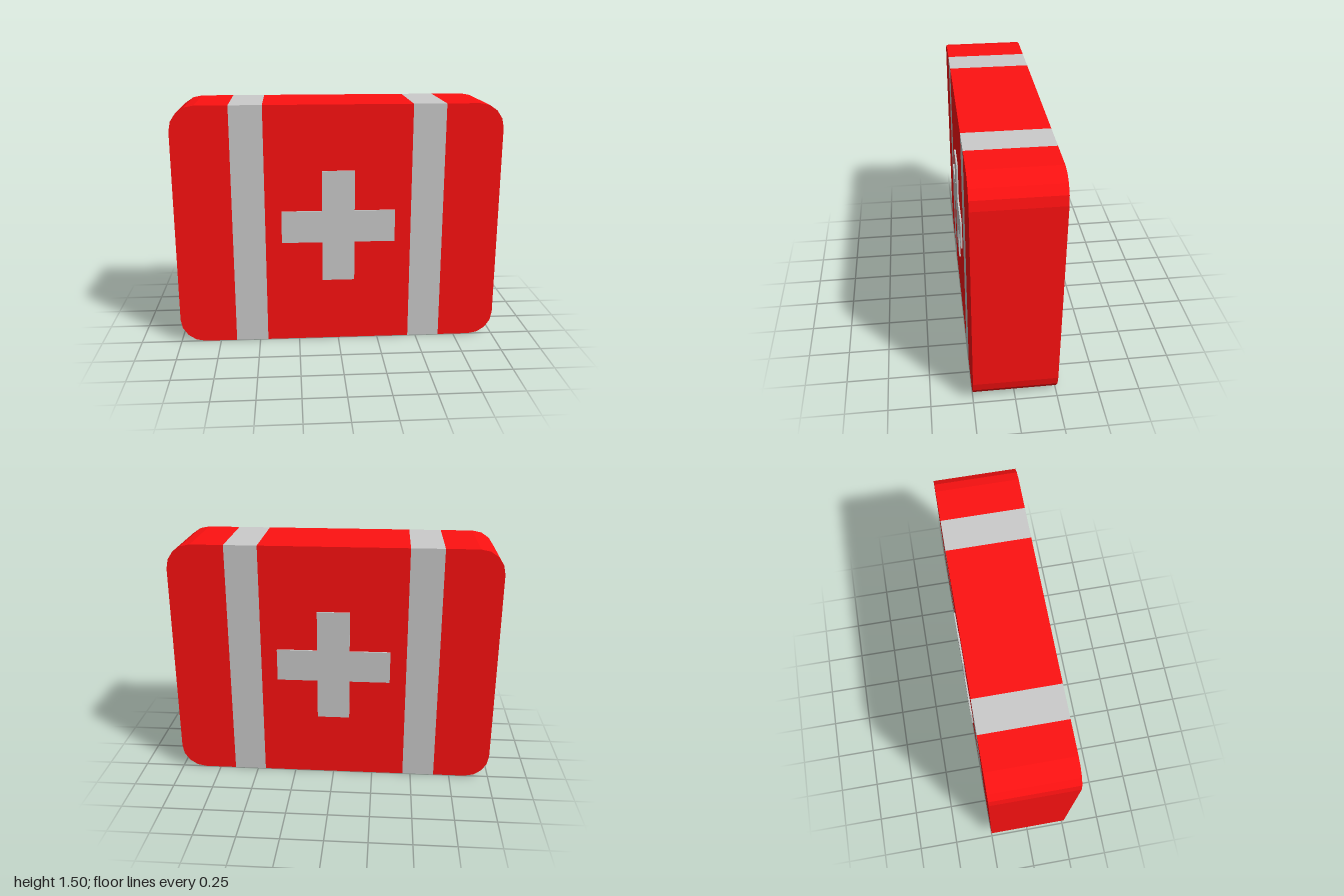
import * as THREE from 'three';

const W = 1, H = 1.5, D = 0.5, R = 0.15;      // half width, height, depth, corner radius
const BAND_IN = 0.45, BAND_OUT = 0.65;        // band edges along x

const red = new THREE.MeshStandardMaterial({ color: 0xff1111, flatShading: true });
const grey = new THREE.MeshStandardMaterial({ color: 0xcccccc, flatShading: true });

function add(parent, name, geometry, material, x = 0, y = 0, z = 0) {
  const mesh = new THREE.Mesh(geometry, material);
  mesh.name = name;
  mesh.position.set(x, y, z);
  parent.add(mesh);
  return mesh;
}

// Outer end of the case, with two rounded corners
function endGeometry() {
  const s = new THREE.Shape();
  s.moveTo(BAND_OUT, 0);
  s.lineTo(W - R, 0);
  s.absarc(W - R, R, R, -Math.PI / 2, 0, false);
  s.lineTo(W, H - R);
  s.absarc(W - R, H - R, R, 0, Math.PI / 2, false);
  s.lineTo(BAND_OUT, H);
  s.closePath();
  // arcs get twice this number of segments
  return new THREE.ExtrudeGeometry(s, { depth: D, bevelEnabled: false, curveSegments: 2 })
    .translate(0, 0, -D / 2);
}

// Raised plus shape, extruded from z = 0
function crossGeometry(long, short, depth) {
  const corners = [];
  for (let i = 0; i < 4; i++) {
    const c = new THREE.Vector2();
    for (const [x, y] of [[long, -short], [long, short], [short, short]])
      corners.push(new THREE.Vector2(x, y).rotateAround(c, i * Math.PI / 2));
  }
  return new THREE.ExtrudeGeometry(new THREE.Shape(corners), { depth, bevelEnabled: false });
}

export function createModel() {
  const model = new THREE.Group();
  model.name = 'firstAidCase';

  // Case: middle block, flush bands and rounded ends
  add(model, 'caseMiddle', new THREE.BoxGeometry(BAND_IN * 2, H, D), red, 0, H / 2);
  const band = new THREE.BoxGeometry(BAND_OUT - BAND_IN, H, D);
  const end = endGeometry();
  const cross = crossGeometry(0.35, 0.1, 0.02);
  for (const [side, sign] of [['left', 1], ['right', -1]]) {
    add(model, side + 'Band', band, grey, sign * (BAND_IN + BAND_OUT) / 2, H / 2);
    add(model, side + 'End', end, red).rotation.y = sign > 0 ? 0 : Math.PI;
  }

  // Crosses on both faces, slightly sunk into the case
  for (const [face, sign] of [['front', 1], ['back', -1]]) {
    add(model, face + 'Cross', cross, grey, 0, H / 2, sign * (D / 2 - 0.01))
      .rotation.y = sign > 0 ? 0 : Math.PI;
  }
  return model;
}
